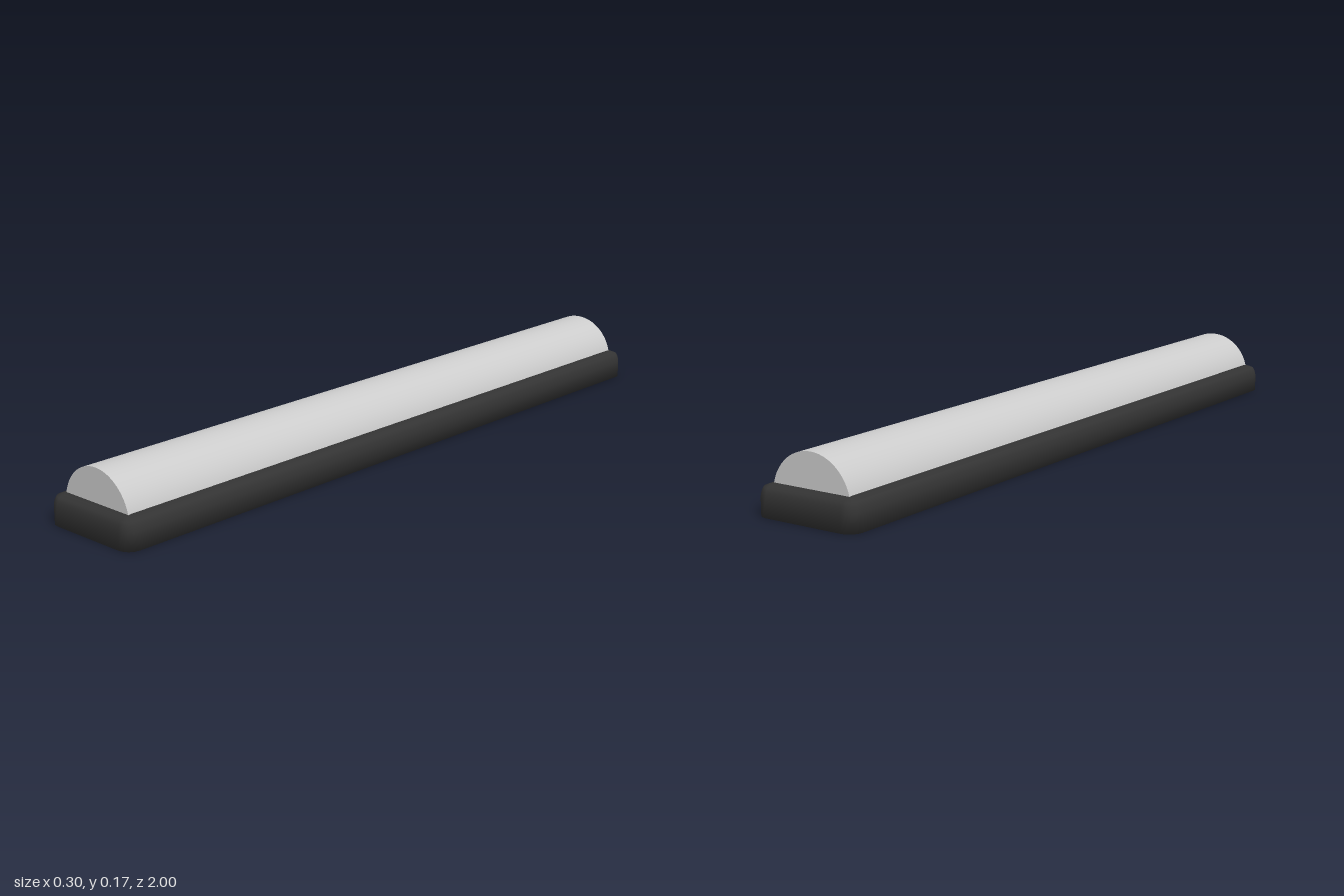
import * as THREE from 'three';

const HALF_W = 0.149, HALF_L = 1, CORNER = 0.035, CORNER_STEPS = 4;

// Rounded rectangle outline in x/z, shrunk by inset, at height y
function ring(y, inset) {
  const r = Math.max(CORNER - inset, 0.006);
  const cx = HALF_W - inset - r, cz = HALF_L - inset - r;
  const centres = [[cx, cz], [-cx, cz], [-cx, -cz], [cx, -cz]];
  return centres.flatMap(([x, z], q) =>
    Array.from({ length: CORNER_STEPS + 1 }, (_, k) => {
      const a = (q + k / CORNER_STEPS) * Math.PI / 2;
      return [x + r * Math.cos(a), y, z + r * Math.sin(a)];
    }));
}

// Closed solid through a stack of rings, smooth over its shared vertices
function loft(rings) {
  const n = rings[0].length, last = (rings.length - 1) * n;
  const points = rings.flat();
  const bottom = points.length, top = bottom + 1;
  points.push([0, rings[0][0][1], 0], [0, rings.at(-1)[0][1], 0]);
  const index = [];
  for (let i = 0; i < n; i++) {
    const j = (i + 1) % n;
    for (let o = 0; o < last; o += n) {
      index.push(o + i, o + n + i, o + j, o + j, o + n + i, o + n + j);
    }
    index.push(bottom, i, j, top, last + j, last + i);
  }
  const geometry = new THREE.BufferGeometry();
  geometry.setAttribute('position', new THREE.Float32BufferAttribute(points.flat(), 3));
  geometry.setIndex(index);
  geometry.computeVertexNormals();
  return geometry;
}

export function createModel() {
  const group = new THREE.Group();
  group.name = 'lightBar';

  // Dark housing: straight sides, then a rounded shoulder up to the flat top
  const profile = [[0, 0], [0.047, 0], [0.061, 0.003], [0.071, 0.008], [0.076, 0.02], [0.08, 0.034]];
  const base = new THREE.Mesh(
    loft(profile.map(([y, inset]) => ring(y, inset))),
    new THREE.MeshStandardMaterial({ color: 0x333333 }));
  base.name = 'base';
  group.add(base);

  // Long domed cover with flat ends, its lower part sunk into the housing
  const dome = new THREE.CylinderGeometry(0.1185, 0.1185, 1.936, 40, 1, false, Math.PI / 2, Math.PI);
  dome.rotateX(Math.PI / 2);
  const cover = new THREE.Mesh(dome, new THREE.MeshStandardMaterial({ color: 0xcccccc }));
  cover.name = 'cover';
  cover.position.y = 0.051;
  group.add(cover);

  return group;
}
